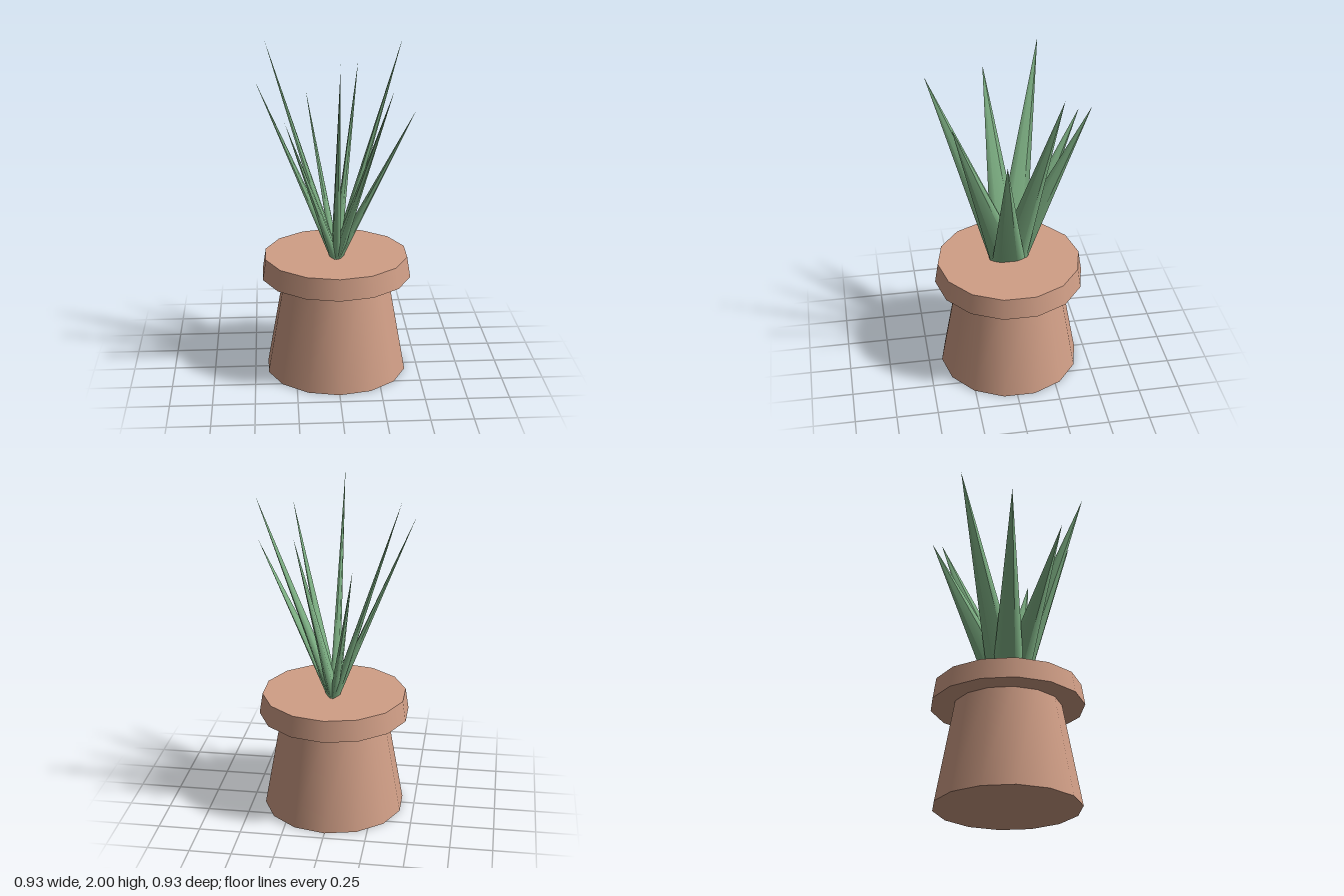
import * as THREE from 'three';

const CENTER_Z = -0.013;
const SIDES = 14;

export function createModel() {
  const group = new THREE.Group();
  group.name = 'pottedPlant';

  const clay = new THREE.MeshStandardMaterial({ color: 0xd09e86 });
  clay.name = 'clay';
  const leafGreen = new THREE.MeshStandardMaterial({ color: 0x7fb285 });
  leafGreen.name = 'leafGreen';

  const add = (name, geometry, material, y = 0) => {
    const mesh = new THREE.Mesh(geometry, material);
    mesh.name = name;
    mesh.position.set(0, y, CENTER_Z);
    group.add(mesh);
  };

  // Pot: body narrowing upwards, with a wide closed rim
  add('potBody', new THREE.CylinderGeometry(0.32, 0.431, 0.615, SIDES), clay, 0.3075);
  add('potRim', new THREE.CylinderGeometry(0.436, 0.456, 0.127, SIDES), clay, 0.6765);

  // Leaves: flattened cones from one shared root, leaning out in a ring
  const rootY = 0.7;
  const lean = 0.473;
  const tipHeights = [2.0, 1.825, 1.65];
  for (let i = 0; i < 9; i++) {
    const angle = (i / 9) * Math.PI * 2;
    const tipX = Math.sin(angle) * lean;
    const tipZ = Math.cos(angle) * lean;
    const leaf = new THREE.ConeGeometry(1, 1, 6, 1);
    leaf.translate(0, 0.5, 0);
    // squash across x and shear the tip outwards
    leaf.applyMatrix4(new THREE.Matrix4().set(
      0.03, tipX, 0, 0,
      0, tipHeights[i % 3] - rootY, 0, 0,
      0, tipZ, 0.105, 0,
      0, 0, 0, 1,
    ));
    add(`leaf${i + 1}`, leaf, leafGreen, rootY);
  }

  return group;
}
